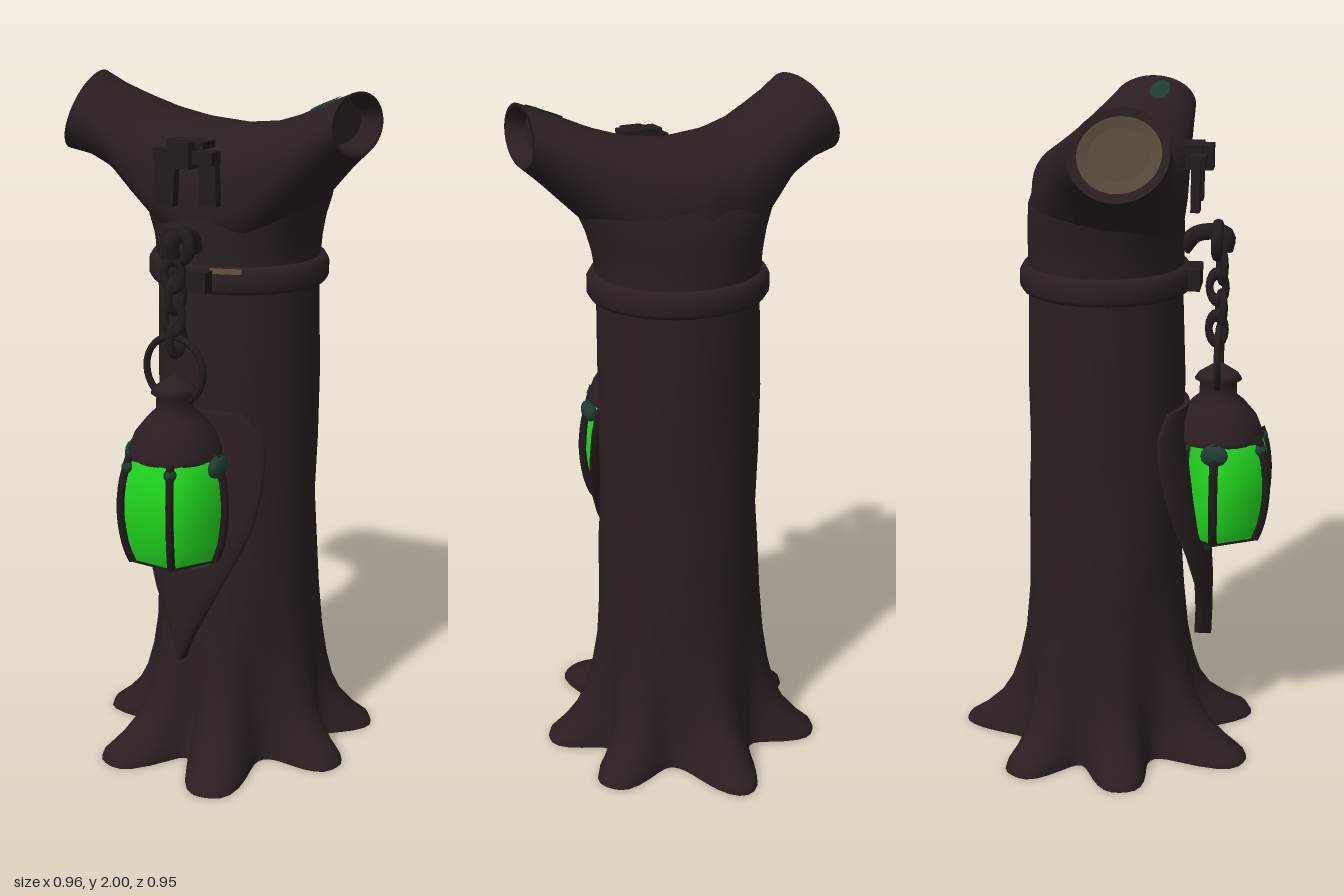
import * as THREE from 'three';

const mat = (name, color, side = THREE.FrontSide) => {
  const m = new THREE.MeshStandardMaterial({ color, side });
  m.name = name;
  return m;
};
const V = (x, y, z) => new THREE.Vector3(x, y, z);
const CX = 0.035, CZ = -0.022;   // trunk axis
const LZ = 0.31;                 // lantern axis depth

// Skin a list of closed rings; caps get their own vertices so edges stay crisp.
function loft(rings, capStart = true, capEnd = true) {
  const n = rings[0].length, pos = [], idx = [];
  const push = p => pos.push(p.x, p.y, p.z) / 3 - 1;
  rings.forEach(r => r.forEach(push));
  for (let i = 0; i < rings.length - 1; i++) {
    for (let j = 0; j < n; j++) {
      const a = i * n + j, c = i * n + (j + 1) % n;
      idx.push(a, a + n, c, a + n, c + n, c);
    }
  }
  const cap = (ring, flip) => {
    const mid = ring.reduce((s, p) => s.add(p), V(0, 0, 0)).divideScalar(n);
    const c = push(mid), first = c + 1;
    ring.forEach(push);
    for (let j = 0; j < n; j++) {
      const a = first + j, b = first + (j + 1) % n;
      idx.push(c, flip ? b : a, flip ? a : b);
    }
  };
  if (capStart) cap(rings[0], false);
  if (capEnd) cap(rings[rings.length - 1], true);
  const g = new THREE.BufferGeometry();
  g.setAttribute('position', new THREE.Float32BufferAttribute(pos, 3));
  g.setIndex(idx);
  g.computeVertexNormals();
  return g;
}
const ringOf = (n, fn) => Array.from({ length: n }, (_, j) => fn(j / n * Math.PI * 2));
const lathe = (pts, seg) => new THREE.LatheGeometry(pts.map(p => new THREE.Vector2(...p)), seg);

// Linear lookup in rows whose first entry is the key
function sample(rows, t) {
  let i = 0;
  while (i < rows.length - 2 && t > rows[i + 1][0]) i++;
  const a = rows[i], b = rows[i + 1], k = (t - a[0]) / (b[0] - a[0]);
  return a.map((v, c) => v + (b[c] - v) * k);
}

// Roots: angle in degrees, reach from the axis, bluntness
const ROOTS = [[-90, 0.452, 2.1], [-34, 0.42, 3], [14, 0.41, 3], [69, 0.485, 3], [112, 0.485, 3], [166, 0.41, 3], [215, 0.425, 3]];
// Trunk rows: y, half width x, half depth z, root flare, front roundness
const TRUNK = [
  [0, 0.262, 0.252, 1, 1], [0.02, 0.262, 0.252, 0.95, 1], [0.05, 0.26, 0.25, 0.72, 1], [0.1, 0.256, 0.248, 0.45, 1],
  [0.16, 0.253, 0.245, 0.28, 1], [0.24, 0.25, 0.243, 0.16, 1], [0.34, 0.247, 0.24, 0.07, 1], [0.48, 0.245, 0.235, 0.02, 1],
  [0.65, 0.243, 0.23, 0, 1], [0.78, 0.232, 0.23, 0, 1], [0.95, 0.236, 0.226, 0, 1], [1.15, 0.238, 0.232, 0, 1],
  [1.4, 0.235, 0.225, 0, 1], [1.5, 0.237, 0.226, 0, 1], [1.56, 0.243, 0.226, 0, 0.9], [1.62, 0.256, 0.225, 0, 0.75],
  [1.68, 0.278, 0.222, 0, 0.6], [1.74, 0.288, 0.2, 0, 0.5], [1.79, 0.25, 0.14, 0, 0.5]];

function trunkRing([y, rx, rz, flare, round]) {
  return ringOf(112, a => {
    let lobe = 0;
    for (const [deg, reach, blunt] of ROOTS) {
      const d = Math.atan2(Math.sin(a - deg * Math.PI / 180), Math.cos(a - deg * Math.PI / 180));
      lobe += (reach - 0.257) * Math.exp(-Math.pow(Math.abs(d) / 0.275, blunt));
    }
    const ripple = y < 1.3 ? 0.003 * Math.sin(3 * a + y * 9) : 0;
    const s = Math.sin(a), depth = s > 0 ? Math.pow(s, round) : s;
    return V(CX + Math.cos(a) * (rx + flare * lobe + ripple), y, CZ + depth * (rz + flare * lobe + ripple));
  });
}

// Fork rows along x: x, top, bottom, back z, front z, slant, yaw, roundness
const FORK = [
  [-0.425, 2.0, 1.77, -0.06, 0.2, 0.46, 0.22, 1], [-0.36, 1.967, 1.756, -0.09, 0.2, 0.33, 0.15, 1],
  [-0.28, 1.935, 1.715, -0.125, 0.2, 0.18, 0.05, 0.95], [-0.2, 1.905, 1.63, -0.17, 0.2, 0.08, 0, 0.85],
  [-0.1, 1.882, 1.53, -0.215, 0.203, 0, 0, 0.72], [0.04, 1.87, 1.48, -0.24, 0.204, 0, 0, 0.65],
  [0.17, 1.885, 1.53, -0.21, 0.203, 0, 0, 0.72], [0.27, 1.915, 1.63, -0.16, 0.201, 0, 0, 0.85],
  [0.34, 1.945, 1.7, -0.12, 0.2, 0, 0, 0.95], [0.41, 1.972, 1.77, -0.08, 0.2, 0, -0.03, 1],
  [0.462, 1.99, 1.82, -0.055, 0.2, -0.05, -0.06, 1]];

function forkPoint([x, top, bottom, back, front, slant, yaw, round], a, grow = 0, inset = 0) {
  const c = Math.cos(a);
  const dy = Math.sign(c) * Math.pow(Math.abs(c), round) * ((top - bottom) / 2 + grow);
  const dz = -Math.sin(a) * ((front - back) / 2 + grow);
  return V(x + slant * dy + yaw * dz + inset, (top + bottom) / 2 + dy, (front + back) / 2 + dz);
}
const forkRing = (row, grow, inset) => ringOf(48, a => forkPoint(row, a, grow, inset));

export function createModel() {
  const model = new THREE.Group();
  const bark = mat('bark', 0x2a1f20, THREE.DoubleSide);
  const iron = mat('dark iron', 0x231b1c);
  const wood = mat('cut wood', 0x55493a);
  const glass = mat('green glass', 0x22de20, THREE.DoubleSide);
  const moss = mat('dark teal', 0x1f3d33, THREE.DoubleSide);
  const add = (name, geo, m, x = 0, y = 0, z = 0, parent = model) => {
    const mesh = new THREE.Mesh(geo, m);
    mesh.name = name;
    mesh.position.set(x, y, z);
    parent.add(mesh);
    return mesh;
  };
  const box = (name, w, h, d, m, x, y, z, parent) => add(name, new THREE.BoxGeometry(w, h, d), m, x, y, z, parent);

  // Hollow trunk with flared roots, open underneath, and the two-armed fork on top
  add('trunk', loft(TRUNK.map(trunkRing), false, true), bark);
  const rows = [];
  for (let i = 0; i <= 40; i++) rows.push(sample(FORK, -0.425 + 0.887 * i / 40));
  const last = FORK[FORK.length - 1], first = FORK[0];
  add('fork', loft(rows.map(r => forkRing(r)), false, false), bark);
  add('leftHollow', loft([forkRing(last), forkRing(last, -0.012), forkRing(last, -0.03, -0.05)], false, true), bark);
  add('rightRim', loft([forkRing(first, -0.022, 0.006), forkRing(first)], false, false), bark);
  add('rightCutWood', loft([forkRing(first, -0.05, 0.014), forkRing(first, -0.022, 0.006)], true, false), wood);

  // Moss patch lying on the left arm
  const patch = new THREE.CircleGeometry(1, 20);
  const pp = patch.attributes.position;
  for (let i = 0; i < pp.count; i++) {
    const p = forkPoint(sample(FORK, 0.38 + pp.getX(i) * 0.052), -0.31 + pp.getY(i) * 0.19, 0.004);
    pp.setXYZ(i, p.x, p.y, p.z);
  }
  patch.computeVertexNormals();
  add('mossPatch', patch, moss);

  // Iron collar
  const collar = add('collar', lathe([[0.21, 1.43], [0.252, 1.43], [0.262, 1.445], [0.262, 1.485], [0.25, 1.505], [0.21, 1.507]], 40), bark, CX, 0, CZ);
  collar.scale.z = 0.955;
  const fleck = new THREE.CylinderGeometry(0.254, 0.262, 0.014, 10, 1, true, 0.22, 0.35);
  add('collarFleck', fleck, wood, CX, 1.497, CZ).scale.z = 0.957;
  box('collarClasp', 0.13, 0.06, 0.06, iron, CX, 1.468, 0.225);

  // Bracket near the top with two hanging straps
  const bracket = new THREE.Group();
  bracket.name = 'bracket';
  model.add(bracket);
  box('bracketBar', 0.19, 0.035, 0.045, iron, CX, 1.81, 0.245, bracket);
  box('bracketBlock', 0.065, 0.07, 0.08, iron, CX, 1.815, 0.245, bracket);
  box('bracketTop', 0.12, 0.02, 0.06, iron, CX, 1.842, 0.225, bracket);
  box('strapRight', 0.065, 0.13, 0.025, iron, -0.035, 1.735, 0.24, bracket).rotation.z = -0.06;
  box('strapLeft', 0.055, 0.12, 0.025, iron, 0.105, 1.74, 0.24, bracket).rotation.z = 0.04;

  // Hook arm and chain
  const hook = new THREE.CatmullRomCurve3([V(CX, 1.55, 0.2), V(CX, 1.59, 0.235), V(CX, 1.6, 0.28), V(CX, 1.59, 0.325), V(CX, 1.545, 0.32)]);
  add('hook', new THREE.TubeGeometry(hook, 20, 0.024, 8), iron);
  add('hookRing', new THREE.TorusGeometry(0.045, 0.017, 8, 20), iron, CX, 1.575, 0.3);
  for (let i = 0; i < 4; i++) {
    const link = add('chainLink' + (i + 1), new THREE.TorusGeometry(0.025, 0.012, 8, 16), iron, CX, 1.5 - i * 0.062, LZ + (i % 2 ? -0.008 : 0.004));
    link.scale.y = 1.6;
    link.rotation.y = i % 2 ? 1.3 : 0.35;
  }
  add('bail', new THREE.TorusGeometry(0.094, 0.01, 8, 32), iron, CX, 1.228, LZ);

  // Lantern: roof, bowed panes, ribs and base, flattened where it meets the leaf
  const lantern = new THREE.Group();
  lantern.name = 'lantern';
  lantern.position.set(CX, 0, LZ);
  lantern.scale.x = 0.94;
  model.add(lantern);
  add('lanternRoof', lathe([[0.135, 0.985], [0.138, 1.0], [0.118, 1.05], [0.08, 1.095], [0.056, 1.115], [0.054, 1.155], [0.07, 1.165], [0.06, 1.18], [0.022, 1.205], [0, 1.215]], 18), bark, 0, 0, 0, lantern);
  const BOW = [[0.69, 0.14], [0.74, 0.16], [0.84, 0.175], [0.93, 0.167], [1.0, 0.145]];
  const lanternPoint = (a, y, r) => V(Math.cos(a) * r, y, Math.max(Math.sin(a) * r, -0.085));
  const hex = (y, r) => ringOf(6, a => lanternPoint(a, y, r));
  add('panes', loft(BOW.map(([y, r]) => hex(y, r)), false, false), glass, 0, 0, 0, lantern);
  add('lanternFloor', loft([hex(0.682, 0.14), hex(0.69, 0.142)]), bark, 0, 0, 0, lantern);
  add('lanternEave', loft([hex(0.988, 0.15), hex(1.005, 0.143)]), bark, 0, 0, 0, lantern);
  for (let k = 0; k < 6; k++) {
    const a = k * Math.PI / 3;
    const path = new THREE.CatmullRomCurve3(BOW.map(([y, r]) => lanternPoint(a, y, r)));
    add('rib' + (k + 1), new THREE.TubeGeometry(path, 10, 0.013, 6), iron, 0, 0, 0, lantern);
    const c = lanternPoint(a, 0.97, 0.15);
    const corner = add('ribCorner' + (k + 1), new THREE.SphereGeometry(0.019, 10, 8), moss, c.x, c.y, c.z, lantern);
    if (k % 3 === 0) corner.scale.set(1.1, 1.7, 2.2);   // wider gussets at the sides
  }

  // Pointed backing leaf behind the lantern: y, half width, depth
  const LEAF = [[0.34, 0.004, 0.278], [0.42, 0.04, 0.28], [0.54, 0.1, 0.28], [0.66, 0.155, 0.272], [0.76, 0.19, 0.255],
    [0.86, 0.203, 0.235], [0.96, 0.203, 0.215], [1.03, 0.19, 0.205], [1.09, 0.13, 0.2]];
  const leafZ = (x, z) => z - 1.5 * x * x;
  add('backingLeaf', loft(LEAF.map(([y, w, z]) => ringOf(24, a => {
    const x = Math.cos(a) * w;
    return V(CX + x, y, leafZ(x, z) + Math.sin(a) * 0.026);
  }))), bark);

  // Teal glow mark on the leaf under the lantern
  const glow = new THREE.CircleGeometry(1, 24);
  const gp = glow.attributes.position;
  for (let i = 0; i < gp.count; i++) {
    const x = gp.getX(i) * 0.11, y = 0.675 + gp.getY(i) * 0.037;
    gp.setXYZ(i, CX + x, y, leafZ(x, sample(LEAF, y)[2]) + 0.03);
  }
  glow.computeVertexNormals();
  add('glowMark', glow, moss);
  return model;
}
